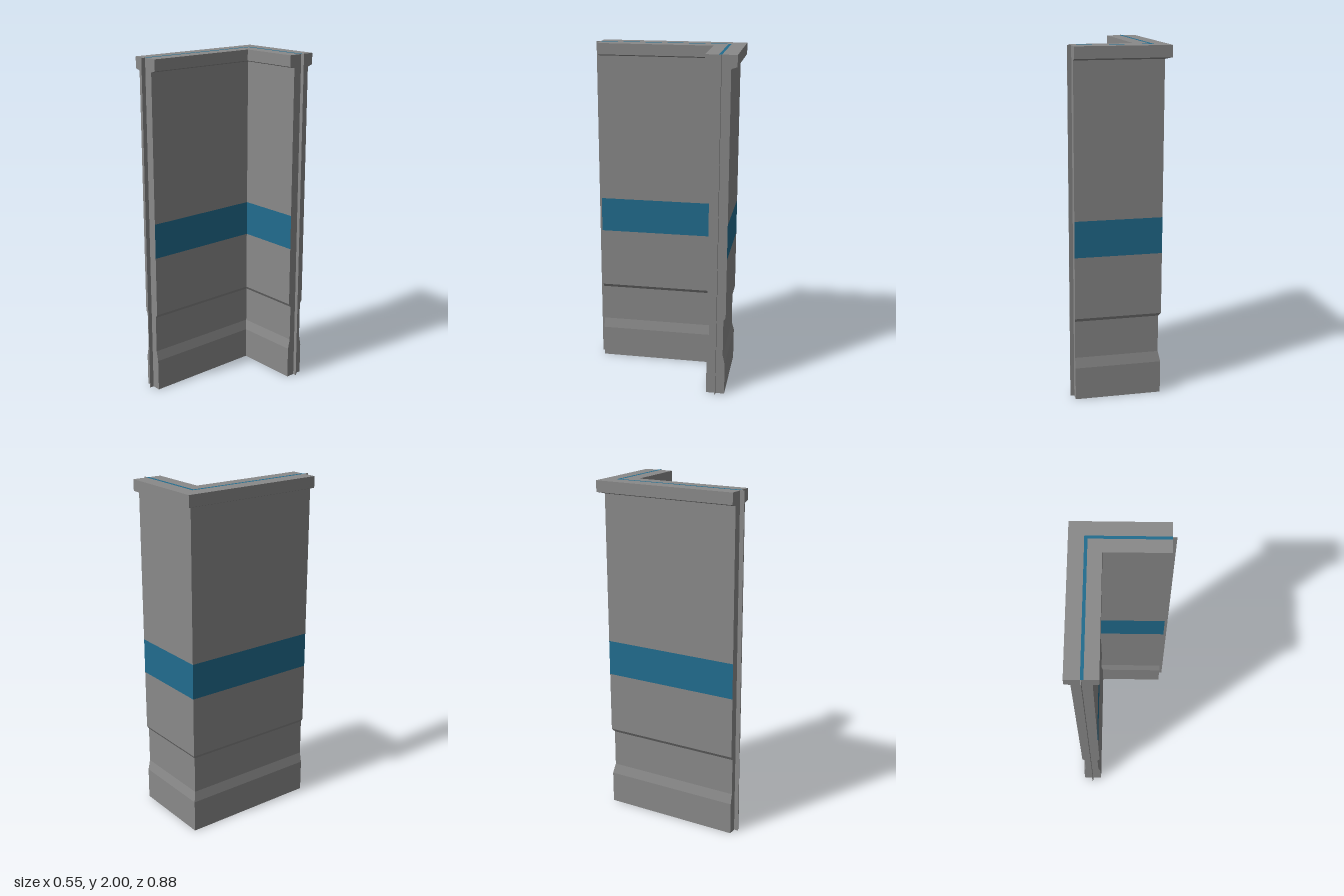
import * as THREE from 'three';

// Centre lines of the two wall arms and where the arms end
const CX = -0.188, CZ = -0.352, END_Z = 0.415, END_X = 0.255;

// Stations of the L-shaped path; d is the sideways offset, positive toward the inner corner
const armA = (d, y) => [CX + d, y, END_Z];
const corner = (d, y) => [CX + d, y, CZ + d];
const armB = (d, y) => [END_X, y, CZ + d];

const quad = (out, a, b, c, d) => out.push(...a, ...b, ...c, ...a, ...c, ...d);

function makeMesh(name, positions, material) {
  const geometry = new THREE.BufferGeometry();
  geometry.setAttribute('position', new THREE.Float32BufferAttribute(positions, 3));
  geometry.computeVertexNormals();
  const mesh = new THREE.Mesh(geometry, material);
  mesh.name = name;
  return mesh;
}

// Inner and outer long faces between two levels of the profile
function sides(out, [h0, y0], [h1, y1]) {
  for (const [s, t] of [[armA, corner], [corner, armB]]) {
    quad(out, s(h0, y0), t(h0, y0), t(h1, y1), s(h1, y1));
    quad(out, t(-h0, y0), s(-h0, y0), s(-h1, y1), t(-h1, y1));
  }
}

// Closing faces at the two free ends
function ends(out, [h0, y0], [h1, y1]) {
  quad(out, armA(-h0, y0), armA(h0, y0), armA(h1, y1), armA(-h1, y1));
  quad(out, armB(h0, y0), armB(-h0, y0), armB(-h1, y1), armB(h1, y1));
}

// Horizontal L between offsets d0 < d1
function flat(out, d0, d1, y, up) {
  for (const [s, t] of [[armA, corner], [corner, armB]]) {
    if (up) quad(out, s(d1, y), t(d1, y), t(d0, y), s(d0, y));
    else quad(out, s(d0, y), t(d0, y), t(d1, y), s(d1, y));
  }
}

export function createModel() {
  const grey = new THREE.MeshStandardMaterial({ color: 0x898989 });
  grey.name = 'wall grey';
  const blue = new THREE.MeshStandardMaterial({ color: 0x216c8e });
  blue.name = 'stripe blue';

  const model = new THREE.Group();
  model.name = 'cornerWall';

  // Profile levels: half thickness and height
  const top = 1.999;
  const levels = [
    [0.054, 0], [0.054, 0.19], [0.041, 0.25], [0.041, 0.468], [0.054, 0.488],
    [0.054, 0.845], [0.054, 1.053], [0.054, 1.924], [0.0875, 1.934], [0.0875, top],
  ];
  const STRIPE = 5, CAP = 7;
  const wall = [], stripe = [], cap = [];
  for (let i = 0; i < levels.length - 1; i++) {
    const body = i >= CAP ? cap : wall;
    sides(i === STRIPE ? stripe : body, levels[i], levels[i + 1]);
    ends(body, levels[i], levels[i + 1]);
  }
  flat(wall, -0.054, 0.054, 0, false);
  flat(cap, -0.0875, 0.0875, top, true);
  model.add(makeMesh('wall', wall, grey));
  model.add(makeMesh('wallStripe', stripe, blue));
  model.add(makeMesh('cap', cap, grey));

  // Painted line along the top of the cap
  const line = [];
  flat(line, -0.005, 0.012, 2, true);
  model.add(makeMesh('topLine', line, blue));

  // Thin full-height joining fins at the free ends
  const fin = (name, w, d, x, z) => {
    const mesh = new THREE.Mesh(new THREE.BoxGeometry(w, 2, d), grey);
    mesh.name = name;
    mesh.position.set(x, 1, z);
    model.add(mesh);
  };
  fin('frontFin', 0.005, 0.025, CX - 0.002, END_Z + 0.0125);
  fin('sideFin', 0.022, 0.005, END_X + 0.011, CZ);

  return model;
}
